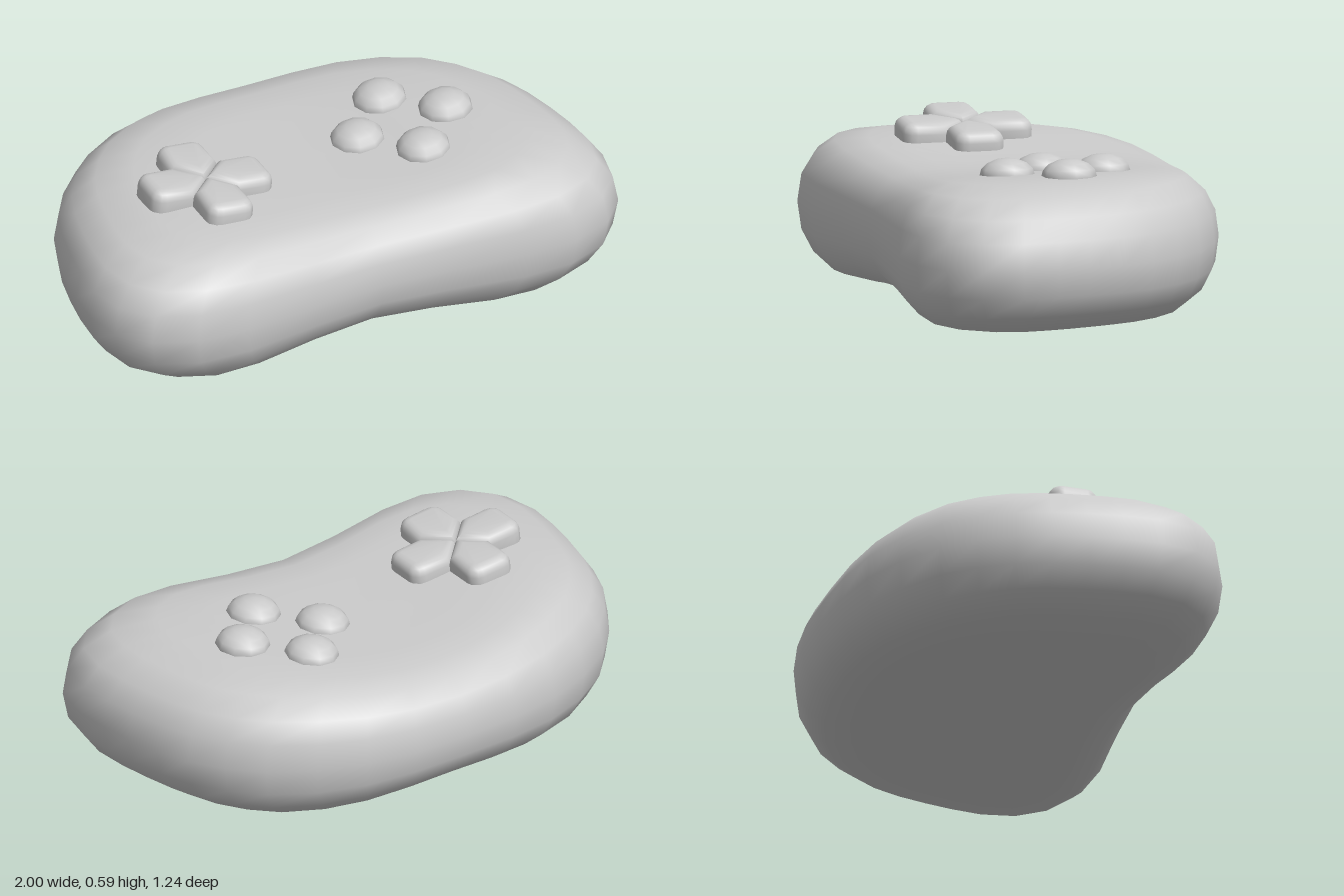
import * as THREE from 'three';
import { toCreasedNormals } from 'three/addons/utils/BufferGeometryUtils.js';

const material = new THREE.MeshStandardMaterial({ color: 0xcccccc });
const MID = 0.2635;

// Half thickness of the shell: thinner in the middle, fuller at the grips
const halfHeight = x => 0.216 + 0.0475 * THREE.MathUtils.smoothstep(Math.abs(x), 0, 0.7);

function addMesh(parent, name, geometry) {
  const mesh = new THREE.Mesh(geometry, material);
  mesh.name = name;
  parent.add(mesh);
  return mesh;
}

// Body: a bean-shaped outline, scaled inwards ring by ring from bottom to top
function bodyGeometry() {
  const half = [
    [0, -0.62], [0.21, -0.612], [0.4, -0.58], [0.57, -0.515], [0.72, -0.42], [0.82, -0.315],
    [0.895, -0.2], [0.94, -0.08], [0.97, 0.05], [0.99, 0.17], [1, 0.3], [0.97, 0.44],
    [0.88, 0.545], [0.73, 0.608], [0.54, 0.618], [0.27, 0.59], [0, 0.57],
  ];
  const outline = [...half, ...half.slice(1, -1).reverse().map(([x, z]) => [-x, z])];
  // [scale of outline, fraction of half height]
  const upper = [[0.982, 0.37], [0.93, 0.65], [0.84, 0.875], [0.69, 0.98], [0.5, 1], [0.33, 1], [0.16, 1]];
  const rings = [...upper.map(([s, f]) => [s, -f]).reverse(), [1, 0], ...upper];
  const n = outline.length;
  const positions = [];
  const index = [];
  for (const [s, f] of rings) {
    for (const [x, z] of outline) positions.push(x * s, MID + f * halfHeight(x * s), z * s);
  }
  const bottom = rings.length * n;
  const top = bottom + 1;
  positions.push(0, MID - halfHeight(0), 0, 0, MID + halfHeight(0), 0);
  const last = (rings.length - 1) * n;
  for (let i = 0; i < n; i++) {
    const j = (i + 1) % n;
    for (let r = 0; r < rings.length - 1; r++) {
      const a = r * n + i, b = r * n + j;
      index.push(a, a + n, b, b, a + n, b + n);
    }
    index.push(bottom, i, j, top, last + j, last + i);
  }
  const geometry = new THREE.BufferGeometry();
  geometry.setAttribute('position', new THREE.Float32BufferAttribute(positions, 3));
  geometry.setIndex(index);
  geometry.computeVertexNormals();
  return geometry;
}

// One arm of the direction pad: a rounded block pointed towards the centre
function armGeometry() {
  const bevel = 0.036;
  const w = 0.0875 - bevel;
  const end = 0.233 - bevel;
  const tip = bevel * Math.SQRT2;
  const c = 0.012;
  const shape = new THREE.Shape();
  shape.moveTo(tip, 0);
  shape.lineTo(tip + w, -w);
  shape.lineTo(end - c, -w);
  shape.quadraticCurveTo(end, -w, end, -w + c);
  shape.lineTo(end, w - c);
  shape.quadraticCurveTo(end, w, end - c, w);
  shape.lineTo(tip + w, w);
  shape.closePath();
  const geometry = new THREE.ExtrudeGeometry(shape, {
    depth: 0.05, bevelSize: bevel, bevelThickness: bevel, bevelSegments: 4, curveSegments: 3,
  });
  geometry.translate(0, 0, -0.05 - bevel);
  geometry.rotateX(-Math.PI / 2);
  return toCreasedNormals(geometry, 0.9);
}

export function createModel() {
  const model = new THREE.Group();
  model.name = 'gameController';
  addMesh(model, 'body', bodyGeometry());

  // Direction pad, tilted to follow the shell
  const pad = new THREE.Group();
  pad.name = 'directionPad';
  pad.position.set(-0.45, 0.577, 0.09);
  pad.rotation.z = -0.1;
  const arm = armGeometry();
  ['Right', 'Back', 'Left', 'Front'].forEach((side, i) => {
    addMesh(pad, `padArm${side}`, arm).rotation.y = i * Math.PI / 2;
  });
  model.add(pad);

  // Four domed action buttons in a diamond
  const dome = new THREE.SphereGeometry(0.097, 10, 8);
  const spots = [[0.35, -0.175], [0.35, 0.17], [0.18, -0.003], [0.52, -0.003]];
  for (const [x, z] of spots) {
    const button = addMesh(model, 'actionButton', dome);
    button.position.set(x, MID + halfHeight(x) - 0.004, z);
    button.scale.y = 0.65;
    button.rotation.z = 0.09;
  }
  return model;
}
